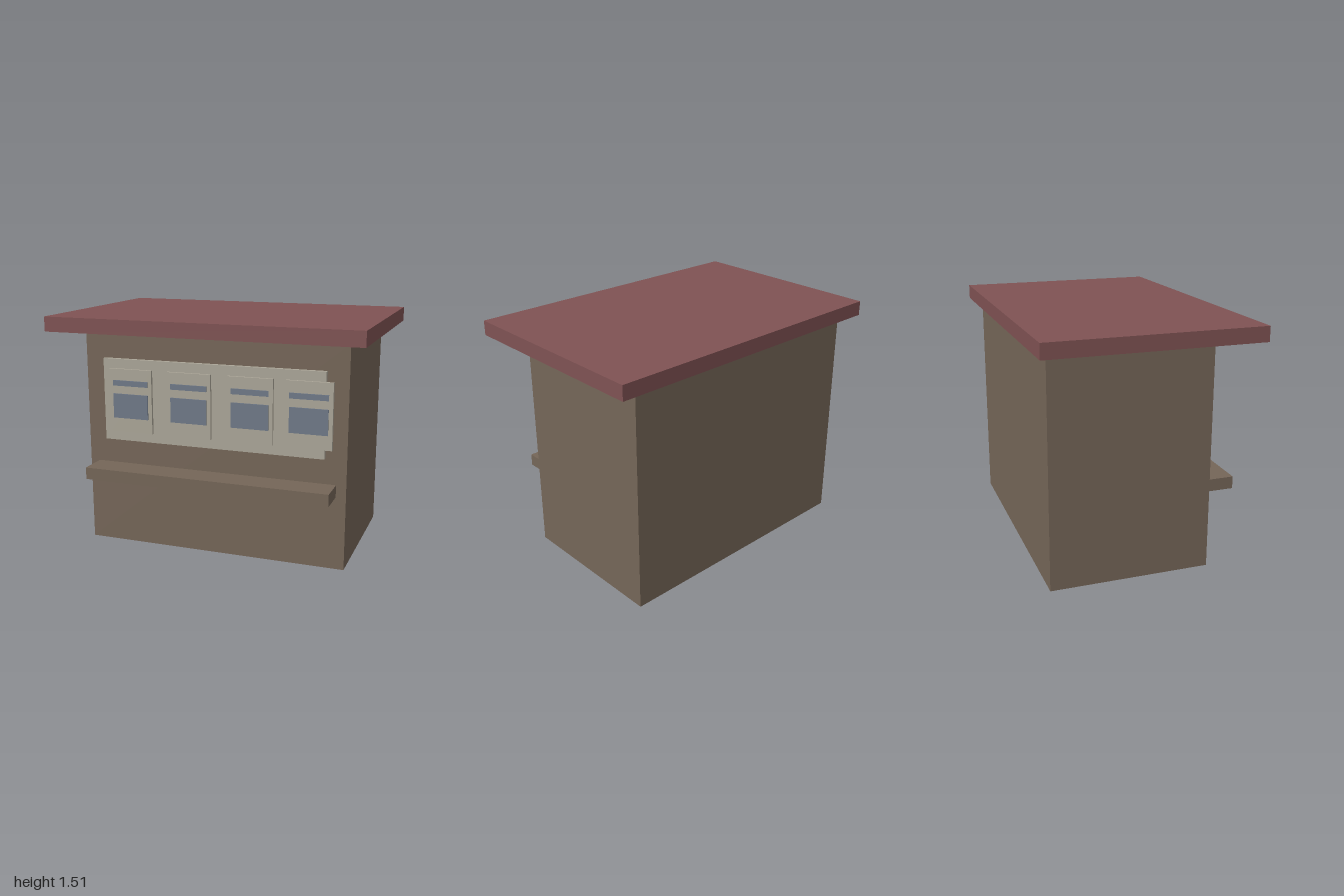
import * as THREE from 'three';

const paint = (name, color) => {
  const m = new THREE.MeshStandardMaterial({ color });
  m.name = name;
  return m;
};

// Box given by its low and high corners
function box(name, material, [x0, y0, z0], [x1, y1, z1]) {
  const mesh = new THREE.Mesh(new THREE.BoxGeometry(x1 - x0, y1 - y0, z1 - z0), material);
  mesh.position.set((x0 + x1) / 2, (y0 + y1) / 2, (z0 + z1) / 2);
  mesh.name = name;
  return mesh;
}

export function createModel() {
  const wood = paint('brown wood', 0x756658);
  const red = paint('dull red roof', 0x7f5253);
  const cream = paint('pale grey board', 0xaba698);
  const blue = paint('slate blue', 0x6f7988);

  const model = new THREE.Group();
  model.name = 'kiosk';

  // Booth, floating roof slab and counter
  model.add(
    box('booth', wood, [-0.863, 0, -0.6], [0.863, 1.4, 0.4]),
    box('roof', red, [-1, 1.421, -0.667], [1, 1.514, 0.667]),
    box('counter', wood, [-0.8, 0.464, 0.4], [0.8, 0.541, 0.588]),
    box('menuBoard', cream, [-0.73, 0.702, 0.4], [0.73, 1.234, 0.428])
  );

  // Menu cards, the last one overhanging the board
  [-0.535, -0.137, 0.264, 0.633].forEach((x, i) => {
    const card = new THREE.Group();
    card.name = `menuCard${i + 1}`;
    card.position.x = x;
    card.add(
      box('cardPanel', cream, [-0.146, 0.763, 0.424], [0.146, 1.173, 0.445]),
      box('cardPicture', blue, [-0.12, 0.855, 0.445], [0.12, 1.013, 0.453]),
      box('cardHeading', blue, [-0.12, 1.065, 0.445], [0.12, 1.1, 0.453])
    );
    model.add(card);
  });

  return model;
}
